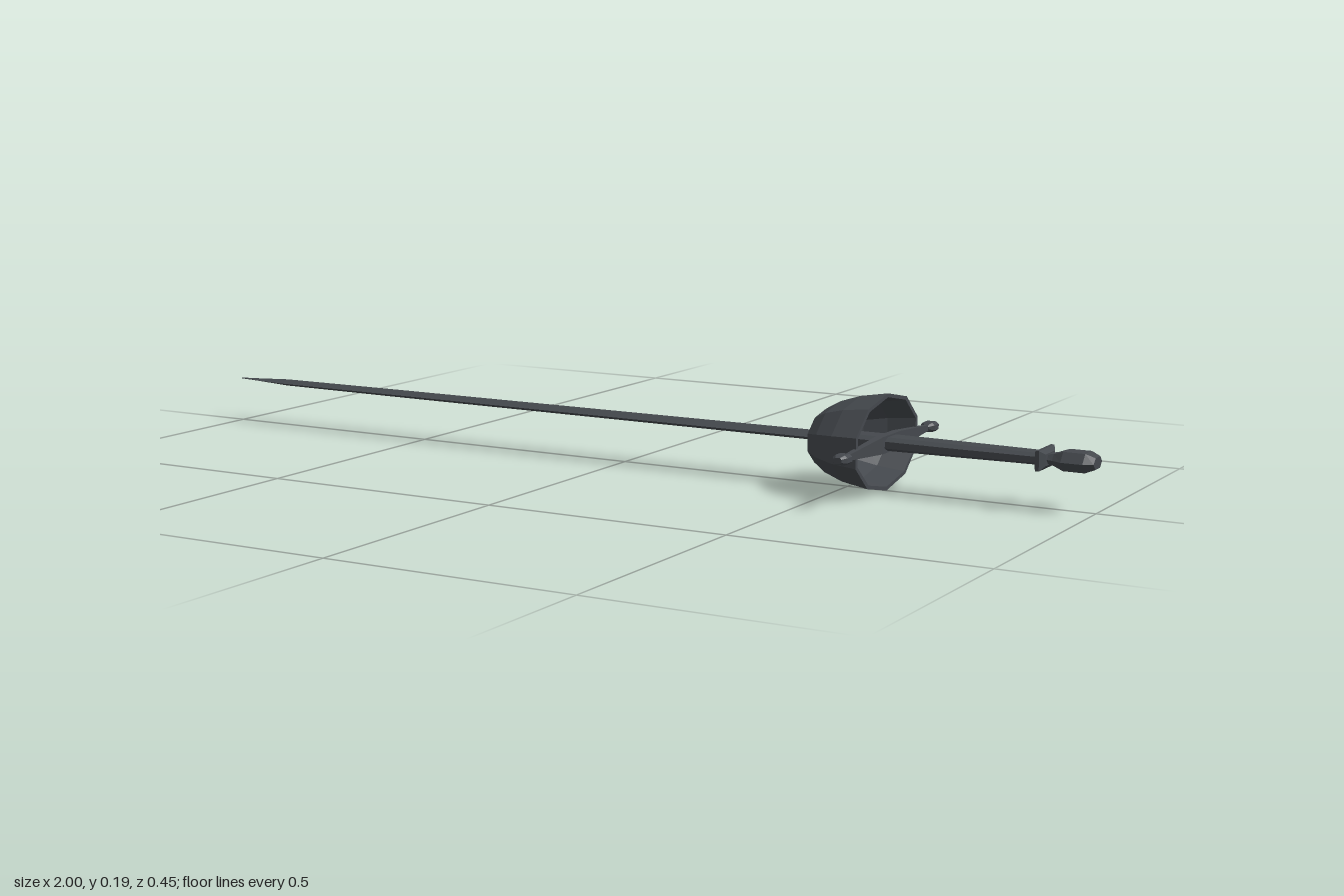
import * as THREE from 'three';

const steel = new THREE.MeshStandardMaterial({ color: 0x44484d, flatShading: true });
steel.name = 'dark steel';

// Cross-sections as unit [y, z] points, counter-clockwise about +x
const ring = (n) => Array.from({ length: n }, (_, i) => {
  const a = (i / n) * Math.PI * 2;
  return [Math.cos(a), Math.sin(a)];
});
const diamond = ring(4);
const hexagon = [[1, 0.55], [0, 1], [-1, 0.55], [-1, -0.55], [0, -1], [1, -0.55]];
const octagon = [[1, 0.6], [0.5, 1], [-0.5, 1], [-1, 0.6], [-1, -0.6], [-0.5, -1], [0.5, -1], [1, -0.6]];
const square = [[1, 1], [-1, 1], [-1, -1], [1, -1]];

// Loft a cross-section along x through stations [x, halfY, halfZ], capped at both ends
function loft(name, shape, stations) {
  const n = shape.length;
  const rings = stations.map(([x, hy, hz]) => shape.map(([y, z]) => [x, y * hy, z * hz]));
  const pos = [];
  const tri = (a, b, c) => pos.push(...a, ...b, ...c);
  const first = [stations[0][0], 0, 0];
  const last = [stations[stations.length - 1][0], 0, 0];
  for (let j = 0; j < n; j++) {
    const k = (j + 1) % n;
    for (let i = 0; i < rings.length - 1; i++) {
      const [a, b, c, d] = [rings[i][j], rings[i][k], rings[i + 1][k], rings[i + 1][j]];
      tri(a, b, c);
      tri(a, c, d);
    }
    tri(first, rings[0][k], rings[0][j]);
    tri(last, rings[rings.length - 1][j], rings[rings.length - 1][k]);
  }
  const geo = new THREE.BufferGeometry();
  geo.setAttribute('position', new THREE.Float32BufferAttribute(pos, 3));
  geo.computeVertexNormals();
  const mesh = new THREE.Mesh(geo, steel);
  mesh.name = name;
  return mesh;
}

export function createModel() {
  const model = new THREE.Group();
  model.name = 'rapier';
  const sword = new THREE.Group();
  sword.name = 'sword';
  sword.position.y = 0.096;
  model.add(sword);

  // Long ridged blade narrowing to a point
  sword.add(loft('blade', diamond, [
    [-1, 0.001, 0.001], [-0.95, 0.003, 0.012], [-0.87, 0.007, 0.02],
    [-0.6, 0.008, 0.022], [0.5, 0.01, 0.029],
  ]));

  // Hollow oval cup: outer shell, rim, then inner shell
  sword.add(loft('cupGuard', ring(10), [
    [0.44, 0.036, 0.058], [0.452, 0.054, 0.085], [0.482, 0.071, 0.112],
    [0.525, 0.085, 0.136], [0.582, 0.0945, 0.15],
    [0.582, 0.087, 0.141], [0.528, 0.078, 0.127], [0.487, 0.064, 0.103],
    [0.46, 0.048, 0.077], [0.45, 0.032, 0.052],
  ]));

  // Cross bar with a knob at each end
  const crossGuard = new THREE.Group();
  crossGuard.name = 'crossGuard';
  crossGuard.position.x = 0.583;
  crossGuard.rotation.y = -Math.PI / 2;
  crossGuard.add(loft('crossBar', square, [
    [-0.19, 0.005, 0.005], [-0.04, 0.0165, 0.008], [0.04, 0.0165, 0.008], [0.19, 0.005, 0.005],
  ]));
  for (const side of [-1, 1]) {
    const knob = loft('crossBarKnob', octagon, [
      [-0.022, 0.005, 0.006], [-0.011, 0.0095, 0.015], [0.009, 0.0095, 0.015], [0.021, 0.006, 0.008],
    ]);
    knob.position.x = side * 0.203;
    if (side < 0) knob.rotation.y = Math.PI;
    crossGuard.add(knob);
  }
  sword.add(crossGuard);

  // Flat grip running from inside the cup to the collar
  sword.add(loft('grip', octagon, [
    [0.448, 0.013, 0.03], [0.6, 0.013, 0.032], [0.75, 0.012, 0.031], [0.9, 0.011, 0.027],
  ]));

  // Flared collar below the pommel
  sword.add(loft('collar', square, [
    [0.89, 0.013, 0.03], [0.895, 0.019, 0.04], [0.902, 0.019, 0.04], [0.909, 0.011, 0.024],
  ]));

  // Faceted pommel
  sword.add(loft('pommel', hexagon, [
    [0.902, 0.008, 0.018], [0.92, 0.011, 0.022], [0.94, 0.018, 0.033],
    [0.982, 0.018, 0.033], [1, 0.011, 0.023],
  ]));

  return model;
}
